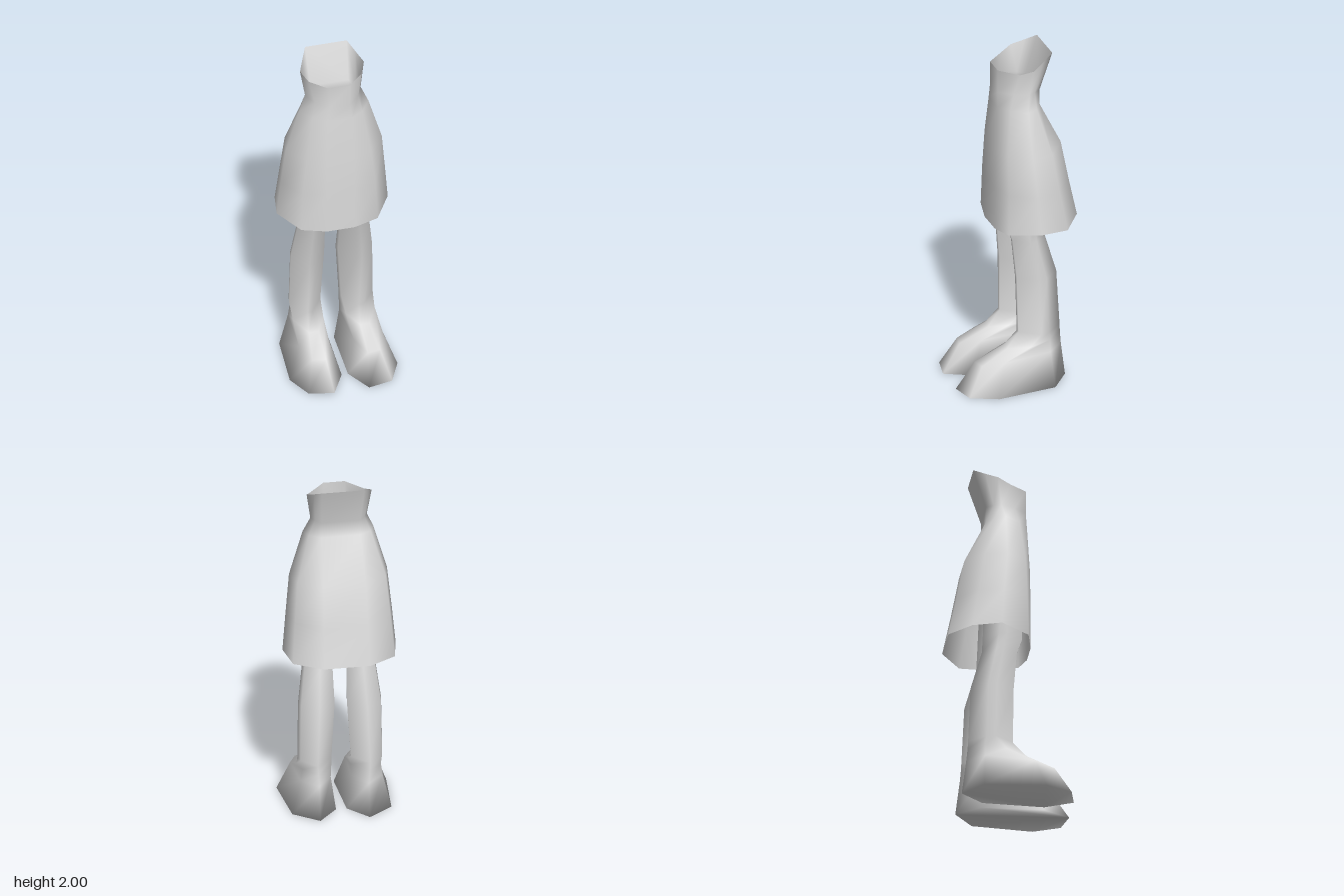
import * as THREE from 'three';

const cloth = new THREE.MeshStandardMaterial({ color: 0xdcdcdc, side: THREE.DoubleSide });
cloth.name = 'plain grey';

// Smooth skin over rings of [x, y, z] points, each counter-clockwise from above;
// closed adds a flat underside that shares the first ring
function loft(name, rings, closed = false) {
  const n = rings[0].length, index = [];
  for (let i = 0; i < rings.length - 1; i++) {
    for (let j = 0; j < n; j++) {
      const k = (j + 1) % n, a = i * n + j, b = i * n + k;
      index.push(a, b, b + n, a, b + n, a + n);
    }
  }
  if (closed) for (let j = 1; j < n - 1; j++) index.push(0, j + 1, j);
  const geo = new THREE.BufferGeometry();
  geo.setAttribute('position', new THREE.Float32BufferAttribute(rings.flat(2), 3));
  geo.setIndex(index);
  geo.computeVertexNormals();
  const mesh = new THREE.Mesh(geo, cloth);
  mesh.name = name;
  return mesh;
}

const mirror = (ring) => ring.map(([x, y, z]) => [-x, y, z]).reverse();

// Diamond-like leg section with narrow flats at shin and sides, filling the given extents
function legRing(y, x0, x1, z0, z1) {
  const u = [[-0.15, 1], [0.15, 1], [1, 0.15], [0.9, -0.25], [0, -1], [-1, -0.2], [-0.95, 0.1]];
  return u.map(([a, b]) => [(x0 + x1) / 2 + a * (x1 - x0) / 2, y, (z0 + z1) / 2 + b * (z1 - z0) / 2]);
}

export function createModel() {
  const model = new THREE.Group();
  model.name = 'skirtedLegs';

  // Skirt: left half of each ring from front to back, hem to waistband
  const skirtHalves = [
    [[0.08, 0.945, 0.115], [0.22, 0.96, 0.085], [0.32, 0.98, -0.075], [0.288, 0.968, -0.24], [0.13, 0.977, -0.355]],
    [[0.08, 1.2, 0.115], [0.21, 1.2, 0.08], [0.3, 1.2, -0.06], [0.27, 1.2, -0.2], [0.125, 1.2, -0.308]],
    [[0.08, 1.43, 0.11], [0.185, 1.43, 0.075], [0.277, 1.43, -0.04], [0.25, 1.43, -0.165], [0.12, 1.44, -0.262]],
    [[0.07, 1.69, 0.095], [0.143, 1.69, 0.045], [0.2, 1.69, -0.04], [0.175, 1.69, -0.1], [0.11, 1.69, -0.14]],
    [[0.06, 1.78, 0.09], [0.125, 1.78, 0.02], [0.16, 1.78, -0.06], [0.14, 1.78, -0.1], [0.11, 1.78, -0.14]],
    [[0.06, 1.915, 0.09], [0.152, 1.91, -0.008], [0.184, 1.935, -0.08], [0.152, 1.967, -0.148], [0.12, 2, -0.212]],
  ];
  model.add(loft('skirt', skirtHalves.map((half) => [...half, ...mirror(half)])));

  // Left leg and foot, from the sole up to the open hip under the skirt
  const legRings = [
    [[0.1, 0, 0.355], [0.24, 0, 0.325], [0.31, 0, 0.175], [0.28, 0, -0.17],
      [0.14, 0, -0.28], [0.03, 0, -0.15], [0.018, 0, 0.2]],
    [[0.12, 0.16, 0.25], [0.195, 0.16, 0.235], [0.242, 0.18, 0.12], [0.232, 0.2, -0.16],
      [0.14, 0.2, -0.255], [0.058, 0.2, -0.14], [0.07, 0.18, 0.14]],
    [[0.12, 0.235, 0.08], [0.175, 0.235, 0.08], [0.235, 0.25, -0.04], [0.222, 0.27, -0.16],
      [0.145, 0.27, -0.248], [0.055, 0.27, -0.14], [0.065, 0.25, -0.02]],
    legRing(0.32, 0.055, 0.24, -0.245, 0.005),
    legRing(0.65, 0.035, 0.235, -0.23, 0.01),
    legRing(0.88, 0.04, 0.205, -0.165, 0.03),
    legRing(0.97, 0.038, 0.208, -0.16, 0.06),
    legRing(1.25, 0.01, 0.2, -0.15, 0.05),
  ];
  for (const side of ['left', 'right']) {
    const rings = side === 'left' ? legRings : legRings.map(mirror);
    model.add(loft(side + 'Leg', rings, true));
  }
  return model;
}
